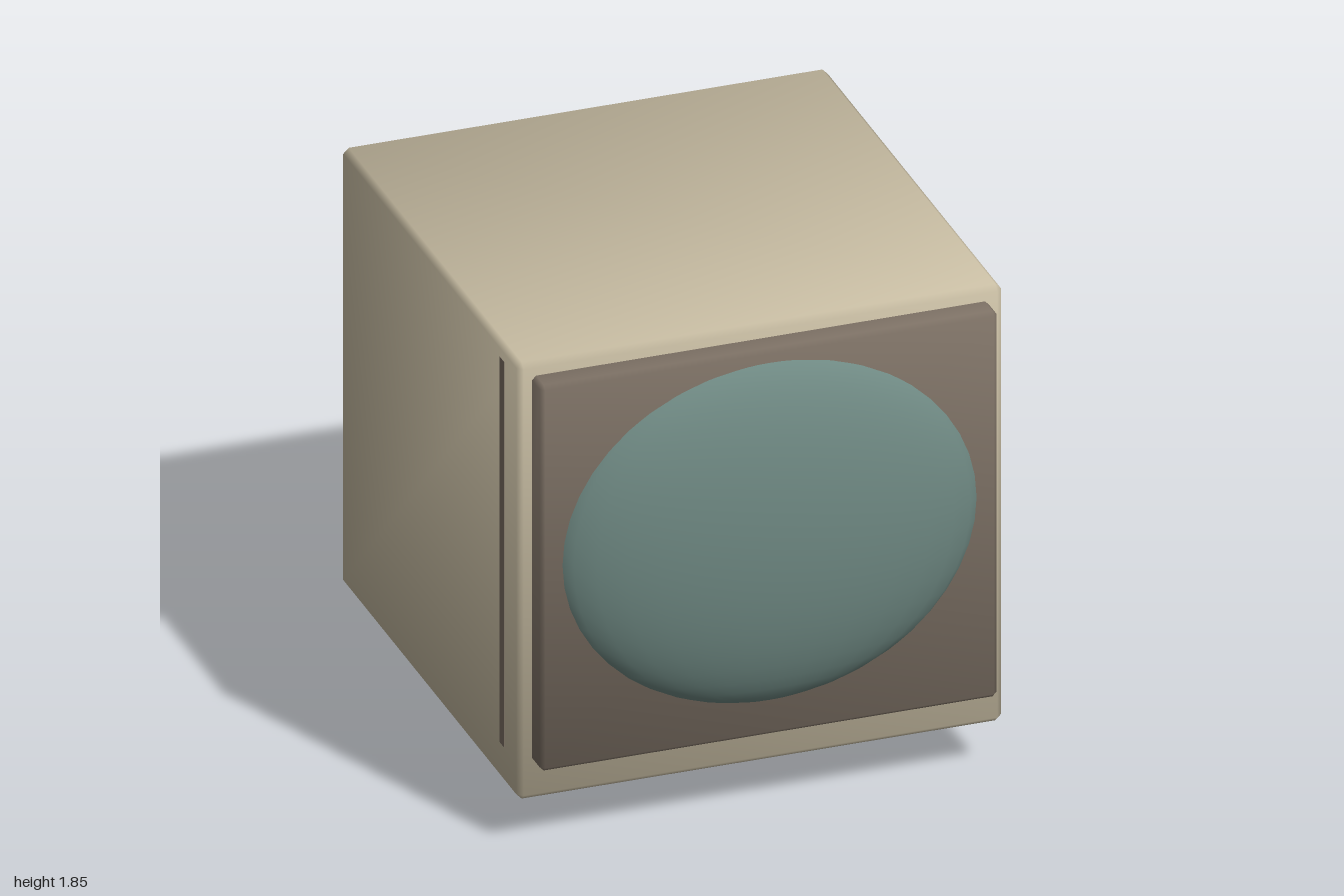
import * as THREE from 'three';
import { ConvexGeometry } from 'three/addons/geometries/ConvexGeometry.js';

const mat = (name, color) => {
  const m = new THREE.MeshStandardMaterial({ color });
  m.name = name;
  return m;
};

// Box between two corners with chamfered edges and softly blended normals
function chamferBox(name, min, max, c, material) {
  const half = max.map((v, i) => (v - min[i]) / 2);
  const points = [];
  for (const sx of [-1, 1]) for (const sy of [-1, 1]) for (const sz of [-1, 1]) {
    for (let axis = 0; axis < 3; axis++) {
      const s = [sx, sy, sz];
      points.push(new THREE.Vector3(...half.map((h, i) => s[i] * (i === axis ? h : h - c))));
    }
  }
  const geo = new ConvexGeometry(points);
  const pos = geo.attributes.position;
  const n = new THREE.Vector3();
  for (let i = 0; i < pos.count; i++) {
    const p = [pos.getX(i), pos.getY(i), pos.getZ(i)];
    // lean each normal from its own face towards the neighbouring bevels
    n.set(...p.map((v, k) => Math.sign(v) * (Math.abs(v) > half[k] - c / 2 ? 2.8 : 1.09))).normalize();
    geo.attributes.normal.setXYZ(i, n.x, n.y, n.z);
  }
  const mesh = new THREE.Mesh(geo, material);
  mesh.name = name;
  mesh.position.set(...max.map((v, i) => (v + min[i]) / 2));
  return mesh;
}

export function createModel() {
  const group = new THREE.Group();
  group.name = 'monitor';
  const beige = mat('beige casing', 0xc8bda3);
  const brown = mat('brown bezel', 0x7d7165);
  const glass = mat('grey green glass', 0x6e8882);

  // Casing, front bezel and the foot floating below
  group.add(
    chamferBox('casing', [-0.88, 0.18, -1], [0.88, 1.85, 0.76], 0.02, beige),
    chamferBox('bezel', [-0.83, 0.325, 0.6], [0.83, 1.8, 0.85], 0.015, brown),
    chamferBox('foot', [-0.615, 0, -0.78], [0.615, 0.13, 0.2], 0.02, beige)
  );

  // Bulging screen
  const screen = new THREE.Mesh(new THREE.SphereGeometry(1, 32, 24), glass);
  screen.name = 'screen';
  screen.scale.set(0.78, 0.666, 0.2);
  screen.position.set(0, 1.105, 0.8);
  group.add(screen);

  // Thin seam strips on both sides of the casing
  for (const side of [-1, 1]) {
    const seam = new THREE.Mesh(new THREE.BoxGeometry(0.004, 1.475, 0.045), brown);
    seam.name = side > 0 ? 'leftSeam' : 'rightSeam';
    seam.position.set(side * 0.879, 1.06, 0.6);
    group.add(seam);
  }
  return group;
}
